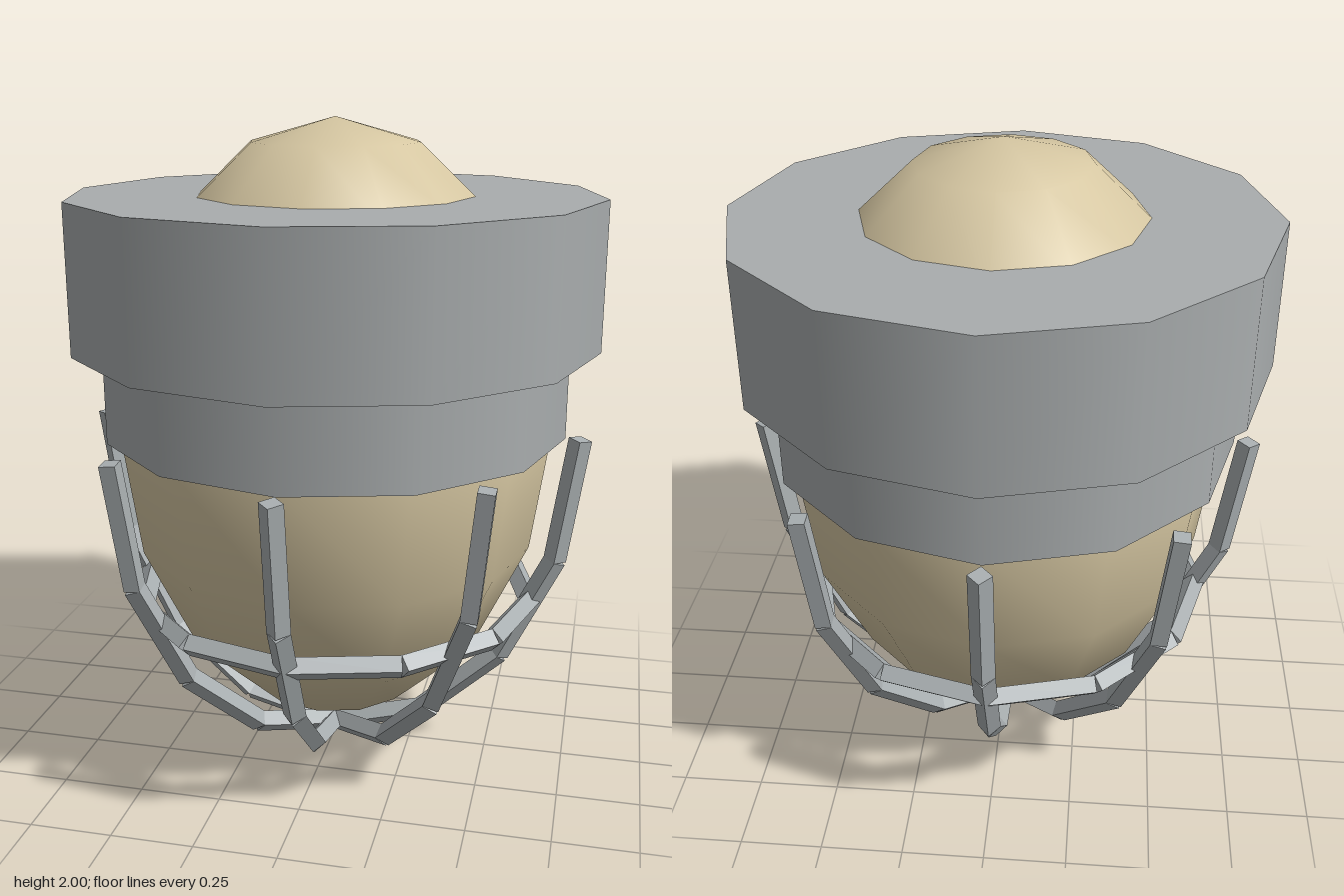
import * as THREE from 'three';

export function createModel() {
  const lamp = new THREE.Group();
  lamp.name = 'cagedLamp';

  const housingMetal = new THREE.MeshStandardMaterial({ color: 0xa9adae });
  housingMetal.name = 'housing grey';
  const cageMetal = new THREE.MeshStandardMaterial({ color: 0xa9afb1, flatShading: true });
  cageMetal.name = 'cage grey';
  const glass = new THREE.MeshStandardMaterial({ color: 0xd6c7a2 });
  glass.name = 'warm glass';

  const add = (parent, name, geometry, material, y = 0) => {
    const mesh = new THREE.Mesh(geometry, material);
    mesh.name = name;
    mesh.position.y = y;
    parent.add(mesh);
    return mesh;
  };

  // Egg-shaped globe, showing above and below the housing
  const globe = new THREE.SphereGeometry(1, 12, 8).scale(0.667, 0.935, 0.667);
  add(lamp, 'globe', globe, glass, 1.065);

  // Stepped twelve-sided housing
  add(lamp, 'housingCap', new THREE.CylinderGeometry(0.8, 0.8, 0.445, 12), housingMetal, 1.555);
  add(lamp, 'housingCollar', new THREE.CylinderGeometry(0.71, 0.71, 0.27, 12), housingMetal, 1.2);

  // Cage ribs: four straight diamond-section bars along a quarter ellipse
  const barRadius = 0.035;
  const ribPoints = [];
  for (let i = 0; i <= 4; i++) {
    const a = (i / 4) * Math.PI / 2;
    ribPoints.push(new THREE.Vector2(0.755 * Math.cos(a), 1.065 - 1.03 * Math.sin(a)));
  }
  for (let r = 0; r < 8; r++) {
    const rib = new THREE.Group();
    rib.name = 'cageRib';
    rib.rotation.y = (r / 8) * Math.PI * 2;
    for (let i = 0; i < 4; i++) {
      const a = ribPoints[i], b = ribPoints[i + 1];
      const bar = add(rib, 'ribBar',
        new THREE.CylinderGeometry(barRadius, barRadius, a.distanceTo(b), 4), cageMetal);
      bar.position.set((a.x + b.x) / 2, (a.y + b.y) / 2, 0);
      bar.rotation.z = Math.atan2(a.x - b.x, b.y - a.y);
    }
    lamp.add(rib);
  }

  // Horizontal cage ring of twelve straight bars
  const ring = new THREE.Group();
  ring.name = 'cageRing';
  const ringRadius = 0.625, half = Math.PI / 12;
  const ringBar = new THREE.CylinderGeometry(barRadius, barRadius, 2 * ringRadius * Math.sin(half), 4)
    .rotateX(Math.PI / 2)
    .translate(ringRadius * Math.cos(half), 0, 0);
  for (let i = 0; i < 12; i++) {
    add(ring, 'ringBar', ringBar, cageMetal, 0.53).rotation.y = half + (i / 12) * Math.PI * 2;
  }
  lamp.add(ring);

  return lamp;
}
